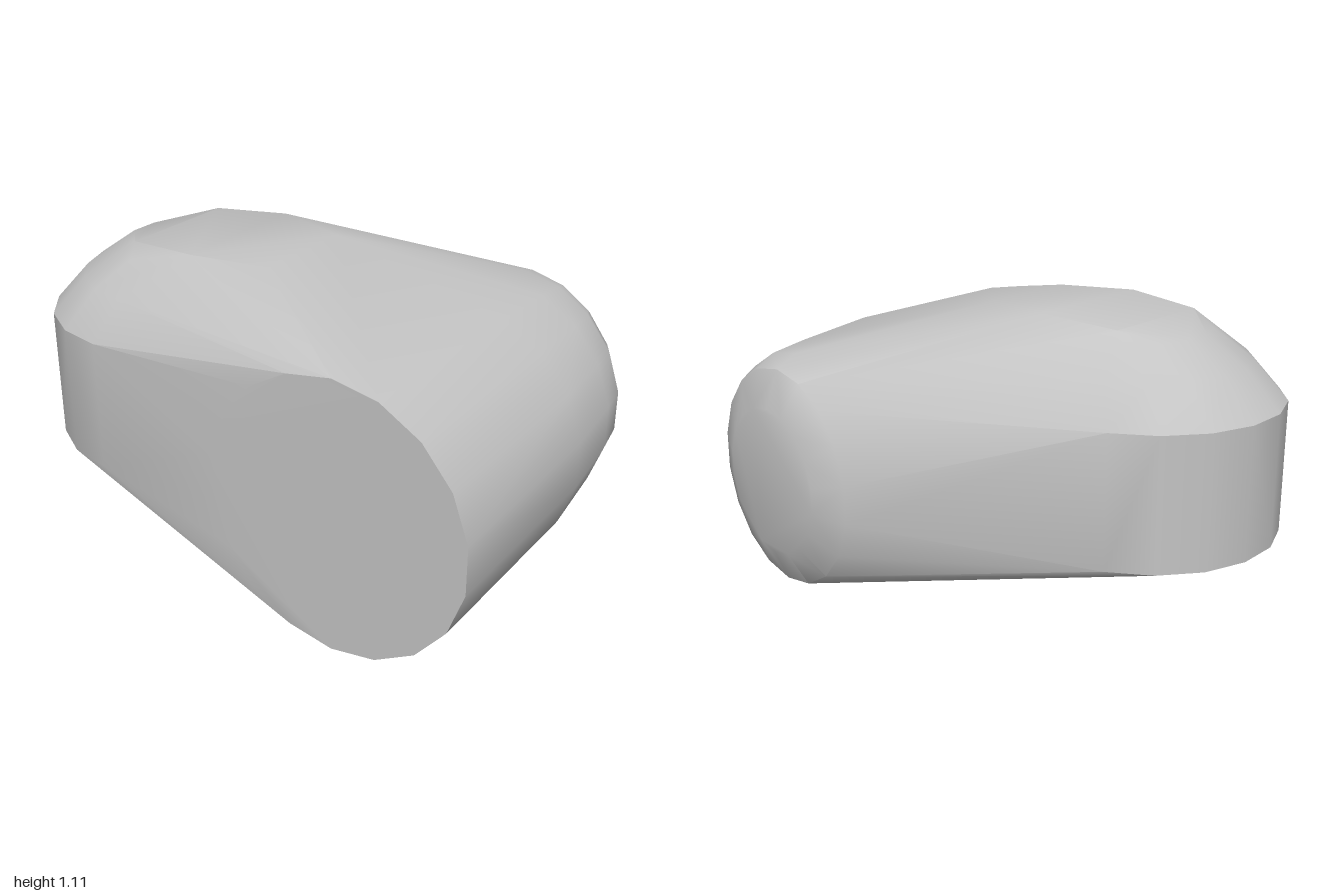
import * as THREE from 'three';
import { ConvexGeometry } from 'three/addons/geometries/ConvexGeometry.js';
import { toCreasedNormals } from 'three/addons/utils/BufferGeometryUtils.js';

const grey = new THREE.MeshStandardMaterial({ color: 0xc4c4c4 });
grey.name = 'plain grey';

// Evenly spaced points round a ring; place(cos, sin) gives each position.
function ring(sides, place) {
  return Array.from({ length: sides }, (_, i) => {
    const a = ((i + 0.5) / sides) * Math.PI * 2;
    return new THREE.Vector3(...place(Math.cos(a), Math.sin(a)));
  });
}

export function createModel() {
  const points = [];

  // Lying drum: [centre x, z, radius, tilt of z per x], flat front to rounded back
  const drum = [
    [0.51, 0.73, 0.49, 0],
    [0.51, -0.03, 0.485, 0],
    [0.505, -0.36, 0.455, 0.05],
    [0.5, -0.53, 0.435, 0.12],
    [0.48, -0.635, 0.4, 0.15],
    [0.47, -0.7, 0.27, 0.15],
  ];
  for (const [x, z, r, tilt] of drum) {
    points.push(...ring(18, (c, s) => [x + r * c, 0.49 + r * s, z + tilt * r * c]));
  }

  // Standing drum: [centre x, y, z, radius x, radius z], flat foot to domed top
  const dome = [
    [-0.52, 0.33, 0.2, 0.485, 0.49],
    [-0.52, 0.81, 0.2, 0.485, 0.49],
    [-0.48, 0.95, 0.19, 0.4, 0.4],
    [-0.42, 1.05, 0.175, 0.32, 0.31],
  ];
  for (const [x, y, z, rx, rz] of dome) {
    points.push(...ring(18, (c, s) => [x + rx * c, y, z + rz * s]));
  }

  // Crown of the dome, a shallow arch: [x, y, half width in z]
  for (const [x, y, w] of [[-0.57, 1.09, 0.23], [-0.28, 1.112, 0.27], [0, 1.105, 0.2]]) {
    points.push(new THREE.Vector3(x, y, 0.17 - w), new THREE.Vector3(x, y, 0.17 + w));
  }

  // One taut skin stretched over both drums
  const body = new THREE.Mesh(toCreasedNormals(new ConvexGeometry(points), 0.6), grey);
  body.name = 'body';

  const model = new THREE.Group();
  model.name = 'roundedBlock';
  model.add(body);
  return model;
}
